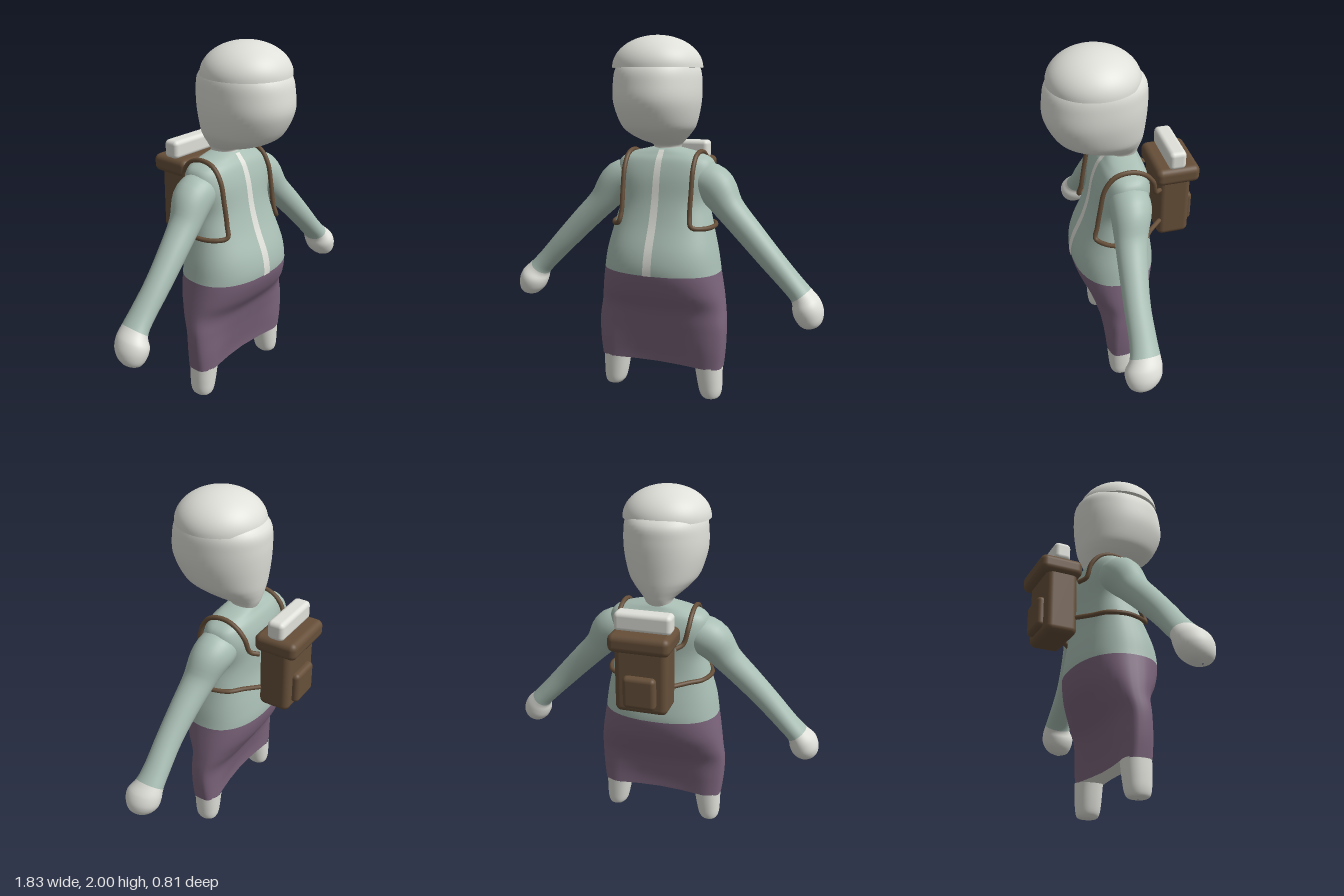
import * as THREE from 'three';
import { RoundedBoxGeometry } from 'three/addons/geometries/RoundedBoxGeometry.js';

const SPAN = 5;   // rings per span between stations
const SIDES = 48; // points per ring

// Smooth curve through stations [x, y, z, ru, rv, exponent]
function sampler(stations) {
  const make = (k) => new THREE.CatmullRomCurve3(
    stations.map((s) => new THREE.Vector3(s[k], s[k + 1], s[k + 2] ?? 2)), false, 'catmullrom', 0.5);
  const path = make(0), size = make(3);
  return (t) => ({ p: path.getPoint(t), s: size.getPoint(t), d: path.getTangent(t) });
}

// Skin of superellipse rings along a path; splits give the station where each next material starts
function loft(stations, splits = [], warp = null) {
  const at = sampler(stations);
  const rings = (stations.length - 1) * SPAN;
  const pos = [], idx = [];
  for (let i = 0; i <= rings; i++) {
    const { p, s, d } = at(i / rings);
    const len = Math.hypot(d.x, d.y) || 1;
    const ux = d.y / len, uy = -d.x / len;
    for (let j = 0; j < SIDES; j++) {
      const a = (j / SIDES) * Math.PI * 2, c = Math.cos(a), q = Math.sin(a);
      const e = 2 / s.z;
      const u = Math.max(s.x, 0.001) * Math.sign(c) * Math.abs(c) ** e;
      const v = Math.max(s.y, 0.001) * Math.sign(q) * Math.abs(q) ** e;
      const w = new THREE.Vector3(p.x + ux * u, p.y + uy * u, p.z + v);
      if (warp) warp(w, p);
      pos.push(w.x, w.y, w.z);
    }
  }
  for (let i = 0; i < rings; i++) {
    for (let j = 0; j < SIDES; j++) {
      const a = i * SIDES + j, b = i * SIDES + ((j + 1) % SIDES);
      idx.push(a, a + SIDES, b, b, a + SIDES, b + SIDES);
    }
  }
  const geo = new THREE.BufferGeometry();
  geo.setAttribute('position', new THREE.Float32BufferAttribute(pos, 3));
  geo.setIndex(idx);
  geo.computeVertexNormals();
  const cuts = [0, ...splits, stations.length - 1].map((k) => k * SPAN * SIDES * 6);
  for (let k = 0; k < cuts.length - 1; k++) geo.addGroup(cuts[k], cuts[k + 1] - cuts[k], k);
  return geo;
}

// Horizontal section row [y, half width, back z, front z, exponent] to a station
const row = ([y, rx, z0, z1, n = 2]) => [0, y, (z0 + z1) / 2, rx, (z1 - z0) / 2, n];

export function createModel() {
  const group = new THREE.Group();
  const mat = (name, color) => {
    const m = new THREE.MeshStandardMaterial({ color });
    m.name = name;
    return m;
  };
  const white = mat('pale white', 0xdfe0d9);
  const green = mat('sage green', 0xa9beb4);
  const plum = mat('plum', 0x7b647b);
  const brown = mat('brown', 0x664f39);
  const add = (name, geo, material, x = 0, y = 0, z = 0) => {
    const m = new THREE.Mesh(geo, material);
    m.name = name;
    m.position.set(x, y, z);
    group.add(m);
    return m;
  };

  // Torso: skirt below, jacket above
  const body = [
    [0.19, 0.364, -0.005, 0.168, 4], [0.30, 0.376, -0.01, 0.178, 3.5], [0.42, 0.38, -0.025, 0.185, 3],
    [0.52, 0.37, -0.08, 0.205, 2.6], [0.62, 0.355, -0.135, 0.265, 2.4], [0.735, 0.335, -0.16, 0.30, 2.3],
    [0.85, 0.317, -0.15, 0.285, 2.3], [1.0, 0.28, -0.125, 0.222, 2.4], [1.12, 0.255, -0.125, 0.185, 2.5],
    [1.25, 0.28, -0.13, 0.16, 2.7], [1.335, 0.268, -0.11, 0.13, 2.7], [1.375, 0.205, -0.085, 0.10, 2.4],
    [1.397, 0.12, -0.07, 0.08, 2.1], [1.41, 0.06, -0.05, 0.06, 2],
  ].map(row);
  // Pinch the cloth between the legs
  const pinch = (w, c) => {
    const k = 1 - THREE.MathUtils.smoothstep(w.y, 0.19, 0.5);
    const mid = 1 - Math.min(1, Math.abs(w.x) / 0.28) ** 2;
    w.z = c.z + (w.z - c.z) * (1 - 0.4 * k * mid);
  };
  add('skirtAndJacket', loft(body, [5], pinch), [plum, green]);
  add('skirtUnderside', loft([row([0.186, 0.001, 0.08, 0.083, 4]), row([0.19, 0.364, -0.005, 0.168, 4])], [], pinch), white);

  // Front zip strip laid on the jacket
  const bodyAt = sampler(body);
  const zip = new THREE.PlaneGeometry(1, 1, 2, 40);
  const zp = zip.attributes.position;
  for (let i = 0; i < zp.count; i++) {
    const h = zp.getY(i) + 0.5;
    const { p, s } = bodyAt((5 + h * 7) / 13);
    zp.setXYZ(i, zp.getX(i) * (0.05 - 0.02 * h), p.y, p.z + s.y + 0.004);
  }
  zip.computeVertexNormals();
  add('zipStrip', zip, white);

  // Head and cap
  add('head', loft([
    [1.38, 0.07, -0.07, 0.08], [1.42, 0.08, -0.09, 0.08], [1.45, 0.115, -0.10, 0.19],
    [1.49, 0.16, -0.11, 0.29], [1.54, 0.195, -0.118, 0.352], [1.65, 0.224, -0.13, 0.404],
    [1.75, 0.227, -0.133, 0.402], [1.83, 0.215, -0.12, 0.38], [1.9, 0.17, -0.04, 0.31],
  ].map((r) => row([...r, 2.15]))), white);
  const dome = [];
  for (let i = 0; i <= 20; i++) {
    const a = (i / 20) * Math.PI / 2;
    dome.push(new THREE.Vector2(Math.max(0, 0.24 * Math.cos(a)), 1.832 + 0.168 * Math.sin(a)));
  }
  add('cap', new THREE.LatheGeometry(dome, 56), white, 0, 0, 0.14);
  add('capUnderside', new THREE.CircleGeometry(0.24, 56).rotateX(Math.PI / 2), white, 0, 1.832, 0.14);

  for (const side of [1, -1]) {
    const label = side > 0 ? 'left' : 'right';

    // Sleeve and hand
    const arm = [
      [0.14, 1.25, 0.015, 0.09, 0.10], [0.28, 1.205, 0.02, 0.112, 0.11], [0.38, 1.088, 0.045, 0.082, 0.088],
      [0.50, 0.965, 0.065, 0.073, 0.076], [0.62, 0.84, 0.078, 0.066, 0.07], [0.73, 0.725, 0.08, 0.06, 0.072],
      [0.79, 0.662, 0.085, 0.061, 0.08], [0.822, 0.612, 0.10, 0.078, 0.098], [0.842, 0.56, 0.105, 0.076, 0.092],
      [0.856, 0.515, 0.115, 0.05, 0.06], [0.861, 0.496, 0.12, 0.004, 0.004],
    ].map(([x, ...rest]) => [x * side, ...rest, 2]);
    add(label + 'Arm', loft(arm, [6]), [green, white]);

    // Foot
    const foot = [
      [0.297, 0.0, 0.08, 0.002, 0.002], [0.297, 0.007, 0.08, 0.042, 0.05], [0.297, 0.035, 0.08, 0.06, 0.066],
      [0.291, 0.10, 0.08, 0.07, 0.073], [0.283, 0.192, 0.08, 0.078, 0.078],
    ].map(([x, ...rest]) => [x * side, ...rest, 2.2]);
    add(label + 'Foot', loft(foot), white);

    // Shoulder strap, running under the arm and back to the pack
    const strap = new THREE.CatmullRomCurve3([
      [0.14, 1.2, -0.18], [0.175, 1.22, -0.145], [0.195, 1.30, -0.125], [0.2, 1.36, -0.075], [0.2, 1.386, 0],
      [0.2, 1.368, 0.085], [0.2, 1.30, 0.138], [0.2, 1.18, 0.165], [0.2, 1.06, 0.185], [0.212, 1.0, 0.198],
      [0.262, 0.985, 0.147], [0.294, 0.985, 0.05], [0.264, 0.985, -0.06], [0.2, 0.985, -0.118], [0.12, 0.985, -0.2],
    ].map(([x, y, z]) => new THREE.Vector3(x * side, y, z)));
    add(label + 'Strap', new THREE.TubeGeometry(strap, 110, 0.013, 10), brown);
  }

  // Backpack with lid, pocket and bedroll
  const box = (name, w, h, d, r, material, y, z) =>
    add(name, new RoundedBoxGeometry(w, h, d, 4, r), material, 0, y, z);
  box('packBody', 0.29, 0.42, 0.18, 0.035, brown, 1.09, -0.268);
  box('packLid', 0.335, 0.10, 0.245, 0.035, brown, 1.28, -0.279);
  box('packPocket', 0.18, 0.18, 0.07, 0.025, brown, 1.01, -0.357);
  box('bedroll', 0.31, 0.105, 0.095, 0.025, white, 1.373, -0.275);

  return group;
}
